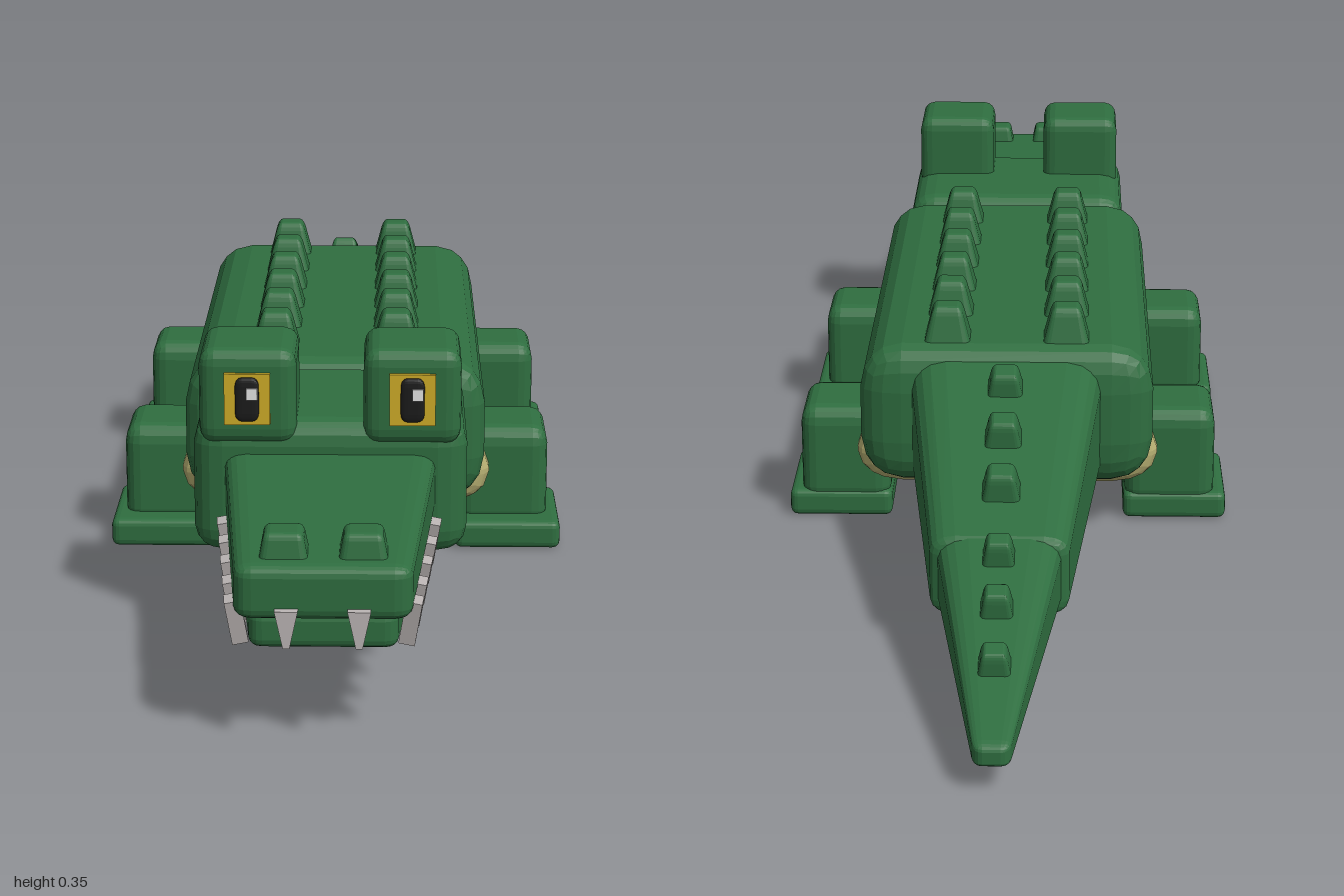
import * as THREE from 'three';
import { RoundedBoxGeometry } from 'three/addons/geometries/RoundedBoxGeometry.js';

const mat = (name, color) => {
  const m = new THREE.MeshStandardMaterial({ color });
  m.name = name;
  return m;
};

export function createModel() {
  const root = new THREE.Group();
  root.name = 'crocodile';
  const green = mat('skin green', 0x2f6e40);
  const tan = mat('belly tan', 0xbab274);
  const grey = mat('tooth grey', 0xbcb6b5);
  const yellow = mat('iris yellow', 0xd0ae28);
  const black = mat('pupil black', 0x1b1b1b);
  const white = mat('glint white', 0xf4f4f4);

  const add = (name, geo, material, parent = root) => {
    const mesh = new THREE.Mesh(geo, material);
    mesh.name = name;
    parent.add(mesh);
    return mesh;
  };

  // Unit cube with bevels given as fractions of each axis
  const unitBox = (fx, fy, fz) =>
    new RoundedBoxGeometry(1 / fx, 1 / fy, 1 / fz, 2, 1).scale(fx, fy, fz);

  // Bevelled block running from z0 to z1; each end is [width, bottom, top]
  const taper = (z0, a, z1, b, [rx, ry, rz]) => {
    const geo = unitBox(rx / a[0], ry / (a[2] - a[1]), rz / (z1 - z0));
    const p = geo.attributes.position;
    const mix = THREE.MathUtils.lerp;
    for (let i = 0; i < p.count; i++) {
      const t = p.getZ(i) + 0.5;
      const low = mix(a[1], b[1], t), high = mix(a[2], b[2], t);
      p.setXYZ(i, p.getX(i) * mix(a[0], b[0], t), mix(low, high, p.getY(i) + 0.5), mix(z0, z1, t));
    }
    geo.computeVertexNormals();
    return geo;
  };
  const block = (w, y0, y1, z0, z1, r) => taper(z0, [w, y0, y1], z1, [w, y0, y1], r);

  // Bevelled block narrowing towards its top, origin at the base
  const bump = (w, h, topScale) => {
    const geo = unitBox(0.15, 0.2, 0.15);
    const p = geo.attributes.position;
    for (let i = 0; i < p.count; i++) {
      const t = p.getY(i) + 0.5;
      const s = w * THREE.MathUtils.lerp(1, topScale, t);
      p.setXYZ(i, p.getX(i) * s, t * h, p.getZ(i) * s);
    }
    geo.computeVertexNormals();
    return geo;
  };

  // Trunk
  add('body', block(0.385, 0.075, 0.265, -0.31, 0.38, [0.055, 0.06, 0.03]), green);
  add('belly', block(0.4, 0.06, 0.15, -0.275, 0.345, [0.06, 0.042, 0.025]), tan);

  // Tail in two tapering sections
  add('tailBase', taper(-0.66, [0.165, 0.05, 0.15], -0.29, [0.25, 0.07, 0.25], [0.03, 0.02, 0.01]), green);
  add('tailTip', taper(-1, [0.04, 0.03, 0.056], -0.6, [0.165, 0.055, 0.165], [0.01, 0.006, 0.012]), green);

  // Back and tail ridges
  const backSpike = bump(0.066, 0.058, 0.55);
  for (let i = 0; i < 6; i++) {
    for (const s of [-1, 1]) {
      add('backSpike', backSpike, green).position.set(s * 0.078, 0.252, 0.285 - i * 0.107);
    }
  }
  const tailSpike = bump(0.054, 0.05, 0.6);
  [[-0.35, 0.26], [-0.455, 0.235], [-0.56, 0.208], [-0.68, 0.17], [-0.77, 0.145], [-0.865, 0.117]]
    .forEach(([z, top], i) => {
      const spike = add('tailSpike', tailSpike, green);
      spike.position.set(0, top - 0.05, z);
      spike.rotation.x = -0.25;
      if (i > 2) spike.scale.set(0.85, 1, 0.85);
    });

  // Legs and feet
  for (const s of [-1, 1]) {
    for (const z of [0.18, -0.235]) {
      const leg = new THREE.Group();
      leg.name = z > 0 ? 'frontLeg' : 'backLeg';
      root.add(leg);
      add('shin', block(0.12, 0.015, 0.155, z, z + 0.12, [0.02, 0.025, 0.02]), green, leg).position.x = s * 0.218;
      add('foot', block(0.138, 0, 0.037, z - 0.002, z + 0.155, [0.01, 0.009, 0.01]), green, leg).position.x = s * 0.225;
    }
  }

  // Head and jaws
  const head = new THREE.Group();
  head.name = 'head';
  root.add(head);
  add('skull', block(0.325, 0.1, 0.265, 0.388, 0.645, [0.035, 0.03, 0.025]), green, head);
  add('upperJaw', taper(0.6, [0.256, 0.15, 0.228], 0.99, [0.19, 0.147, 0.208], [0.025, 0.016, 0.015]), green, head);
  add('lowerJaw', taper(0.6, [0.23, 0.102, 0.152], 0.97, [0.16, 0.108, 0.15], [0.02, 0.012, 0.012]), green, head);

  // Teeth
  const toothShape = new THREE.Shape([[-0.014, 0], [-0.004, -0.052], [0.004, -0.052], [0.014, 0]]
    .map(([x, y]) => new THREE.Vector2(x, y)));
  const sideTooth = new THREE.ExtrudeGeometry(toothShape, { depth: 0.018, bevelEnabled: false })
    .translate(0, 0, -0.009).rotateY(Math.PI / 2);
  const frontTooth = new THREE.ExtrudeGeometry(toothShape, { depth: 0.018, bevelEnabled: false })
    .translate(0, 0, -0.009).scale(0.9, 0.8, 1);
  for (const s of [-1, 1]) {
    for (const z of [0.96, 0.9, 0.833, 0.766, 0.7]) {
      const tooth = add('sideTooth', sideTooth, grey, head);
      tooth.position.set(s * (0.122 - (z - 0.7) * 0.09), 0.163, z);
      tooth.rotation.set(0, -s * 0.085, -s * 0.17);
    }
    add('frontTooth', frontTooth, grey, head).position.set(s * 0.039, 0.162, 0.991);
    add('nostril', bump(0.056, 0.036, 0.75), green, head).position.set(s * 0.043, 0.2, 0.94);

    // Eyes
    const eye = new THREE.Group();
    eye.name = s > 0 ? 'leftEye' : 'rightEye';
    eye.position.x = s * 0.097;
    head.add(eye);
    add('eyeSocket', block(0.115, 0.238, 0.354, 0.525, 0.65, [0.018, 0.02, 0.015]), green, eye);
    add('iris', new THREE.BoxGeometry(0.054, 0.062, 0.008), yellow, eye).position.set(0, 0.296, 0.652);
    add('pupil', block(0.028, 0.27, 0.323, 0.652, 0.661, [0.008, 0.01, 0.003]), black, eye);
    add('glint', new THREE.BoxGeometry(0.013, 0.014, 0.006), white, eye).position.set(0.006, 0.304, 0.66);
  }
  return root;
}
